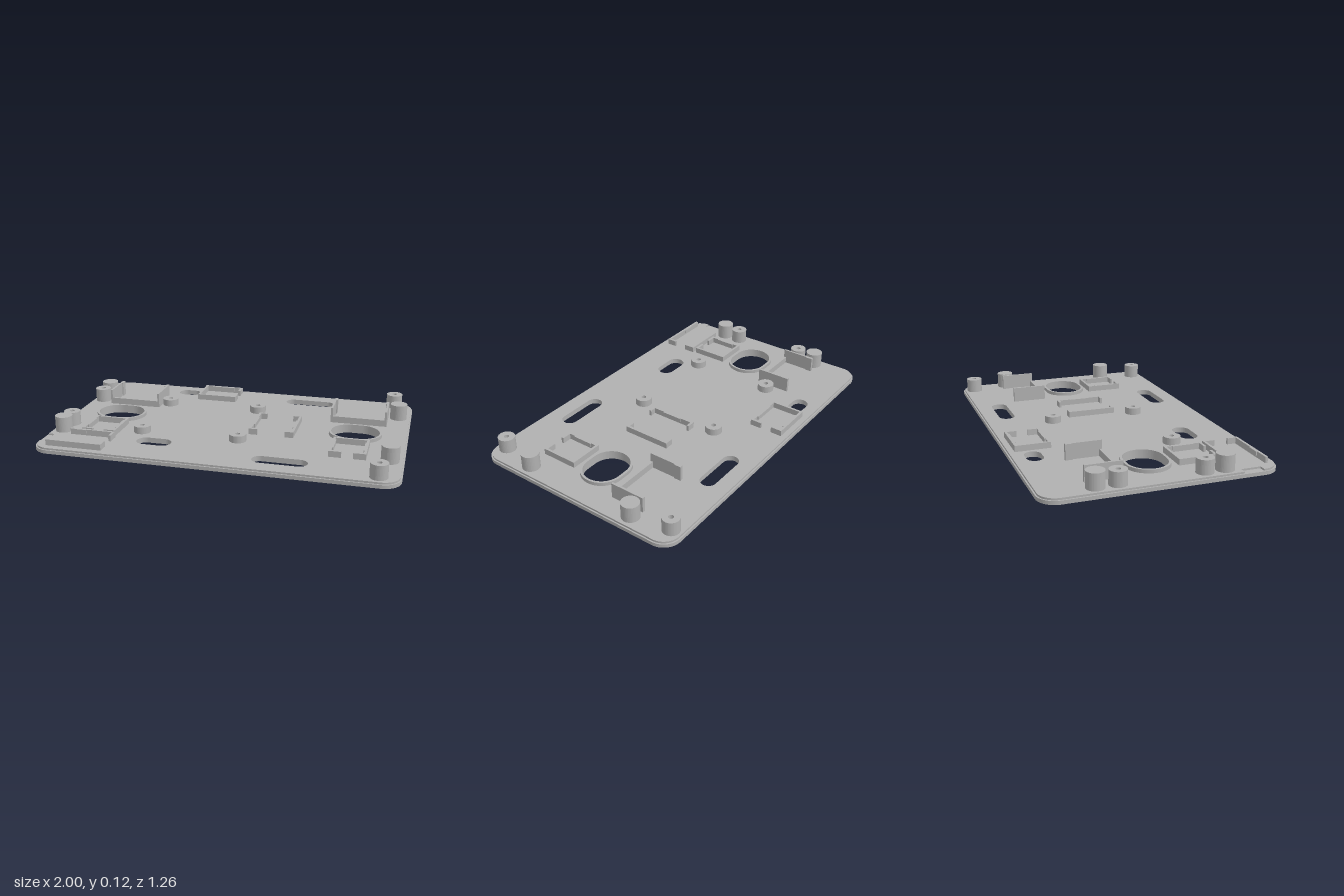
import * as THREE from 'three';

const BASE = 0.03; // top face of the plate

export function createModel() {
  const group = new THREE.Group();
  const grey = new THREE.MeshStandardMaterial({ color: 0xb0b0b0 });
  grey.name = 'greyPlastic';

  const add = (geometry, name) => {
    const mesh = new THREE.Mesh(geometry, grey);
    mesh.name = name;
    group.add(mesh);
    return mesh;
  };

  // Outlines are drawn in x and -z, then extruded upwards
  const extrude = (shape, y0, y1, name) => {
    const g = new THREE.ExtrudeGeometry(shape, { depth: y1 - y0, bevelEnabled: false, curveSegments: 20 });
    g.rotateX(-Math.PI / 2);
    g.translate(0, y0, 0);
    return add(g, name);
  };
  const circle = (x, z, r, T = THREE.Path) => {
    const p = new T();
    p.absarc(x, -z, r, 0, Math.PI * 2);
    return p;
  };
  const stadium = (x, z, half, r, T = THREE.Path) => {
    const p = new T(), d = half - r;
    p.absarc(x + d, -z, r, -Math.PI / 2, Math.PI / 2);
    p.absarc(x - d, -z, r, Math.PI / 2, Math.PI * 1.5);
    p.closePath();
    return p;
  };
  const box = (x0, x1, z0, z1, y1, name, y0 = BASE) => {
    const g = new THREE.BoxGeometry(x1 - x0, y1 - y0, z1 - z0);
    g.translate((x0 + x1) / 2, (y0 + y1) / 2, (z0 + z1) / 2);
    return add(g, name);
  };

  // Base plate in two steps, the upper one inset and notched for a port
  const bigHoles = [[-0.712, 0], [0.706, 0]];
  const slots = [[-0.437, -0.51, 0.07, 0.046], [0.365, -0.49, 0.15, 0.046],
    [-0.367, 0.385, 0.1, 0.05], [0.365, 0.485, 0.15, 0.046]];
  const solidPosts = [[-0.93, -0.345], [-0.93, 0.338], [0.925, -0.345], [0.925, 0.338]];
  const plate = (inset, notch, y0, y1, name) => {
    const s = new THREE.Shape(), w = 1 - inset, d = 0.631 - inset, r = 0.1 - inset;
    s.absarc(w - r, d - r, r, 0, Math.PI / 2);
    s.absarc(-w + r, d - r, r, Math.PI / 2, Math.PI);
    if (notch) {
      s.lineTo(-w, -0.415);
      s.lineTo(-0.956, -0.415);
      s.lineTo(-0.956, -0.525);
      s.lineTo(-w, -0.525);
    }
    s.absarc(-w + r, -d + r, r, Math.PI, Math.PI * 1.5);
    s.absarc(w - r, -d + r, r, -Math.PI / 2, 0);
    s.closePath();
    for (const [x, z] of bigHoles) s.holes.push(stadium(x, z, 0.137, 0.108));
    for (const slot of slots) s.holes.push(stadium(...slot));
    for (const [x, z] of solidPosts) s.holes.push(circle(x, z, 0.012));
    extrude(s, y0, y1, name);
  };
  plate(0, false, 0, 0.02, 'basePlate');
  plate(0.008, true, 0.02, BASE, 'basePlateTop');

  // Raised collars around the two large openings
  for (const [x, z] of bigHoles) {
    const s = stadium(x, z, 0.15, 0.122, THREE.Shape);
    s.holes.push(stadium(x, z, 0.137, 0.108));
    extrude(s, BASE, 0.05, 'openingCollar');
  }

  // Posts with a screw hole from above
  const hollowPost = (x, z, r, hole, top, name) => {
    const s = circle(x, z, r, THREE.Shape);
    s.holes.push(circle(x, z, hole));
    extrude(s, BASE, top, name);
  };
  for (const [x, z] of [[0.885, -0.563], [0.885, 0.56], [-0.93, -0.23], [-0.93, 0.227]])
    hollowPost(x, z, 0.047, 0.014, 0.11, 'tallScrewPost');
  for (const x of [-0.485, 0.08])
    for (const z of [-0.255, 0.25]) hollowPost(x, z, 0.048, 0.014, 0.07, 'shortScrewPost');

  // Posts closed on top and drilled from below
  for (const [x, z] of solidPosts) {
    hollowPost(x, z, 0.049, 0.012, 0.105, 'closedPost');
    extrude(circle(x, z, 0.049, THREE.Shape), 0.105, 0.12, 'closedPostCap');
  }

  // U-shaped holders with tall side cheeks and a low front wall
  for (const [x0, x1] of [[-0.857, -0.535], [0.54, 0.867]]) {
    box(x0, x1, -0.19, -0.175, 0.068, 'holderFrontWall');
    for (const [x, s] of [[x0, 1], [x1, -1]]) {
      const a = x + s * 0.012;
      box(Math.min(x, a), Math.max(x, a), -0.375, -0.175, 0.118, 'holderCheek');
      const b = a + s * 0.006;
      box(Math.min(a, b), Math.max(a, b), -0.375, -0.335, 0.118, 'holderCheekRib');
    }
  }

  const T = 0.014, H = 0.064;

  // Square frames open towards the front, with inner clips
  for (const cx of [-0.709, 0.702]) {
    const x0 = cx - 0.1, x1 = cx + 0.1;
    box(x0, x1, 0.145, 0.145 + T, H, 'frameBack');
    for (const s of [-1, 1]) {
      const o = cx + s * (0.1 - T / 2), e = cx + s * 0.066;
      box(o - T / 2, o + T / 2, 0.145, 0.36, H, 'frameSide');
      box(e - 0.034, e + 0.034, 0.36 - T, 0.36, H, 'frameFront');
      const c = cx + s * (0.097 - T);
      box(c - 0.003, c + 0.003, 0.19, 0.31, H, 'frameClip', 0.042);
    }
  }

  // Square frame at the back, open towards its left side
  box(-0.347, -0.347 + T, -0.59, -0.39, H, 'backFrameEnd');
  box(-0.347, -0.1, -0.59, -0.59 + T, H, 'backFrameWall');
  box(-0.347, -0.1, -0.39 - T, -0.39, H, 'backFrameWall');
  box(-0.1 - T, -0.1, -0.59, -0.523, H, 'backFrameLip');
  box(-0.1 - T, -0.1, -0.457, -0.39, H, 'backFrameLip');
  box(-0.29, -0.15, -0.576, -0.57, H, 'backFrameClip', 0.042);
  box(-0.29, -0.15, -0.41, -0.404, H, 'backFrameClip', 0.042);

  // Pair of facing brackets in the middle
  for (const s of [-1, 1]) {
    const cx = 0.245, outer = cx + s * 0.129;
    const span = (a, b) => [Math.min(a, b), Math.max(a, b)];
    box(...span(outer, outer - s * T), -0.143, 0.14, H, 'bracketWall');
    box(...span(outer, outer - s * 0.05), -0.143, -0.143 + T, H, 'bracketTab');
    box(...span(outer, outer - s * 0.05), 0.14 - T, 0.14, H, 'bracketTab');
    box(...span(outer - s * T, outer - s * (T + 0.006)), -0.06, 0.06, H, 'bracketClip', 0.042);
  }

  // Port cradle in the front corner
  box(-0.866, -0.6, 0.376, 0.376 + T, H, 'cradleBack');
  box(-0.925, -0.6, 0.584 - T, 0.584, H, 'cradleFront');
  box(-0.6 - T, -0.6, 0.376, 0.443, H, 'cradleEnd');
  box(-0.6 - T, -0.6, 0.522, 0.584, H, 'cradleEnd');
  box(-0.84, -0.77, 0.39, 0.396, H, 'cradleClip', 0.042);
  box(-0.84, -0.77, 0.564, 0.57, H, 'cradleClip', 0.042);

  return group;
}
